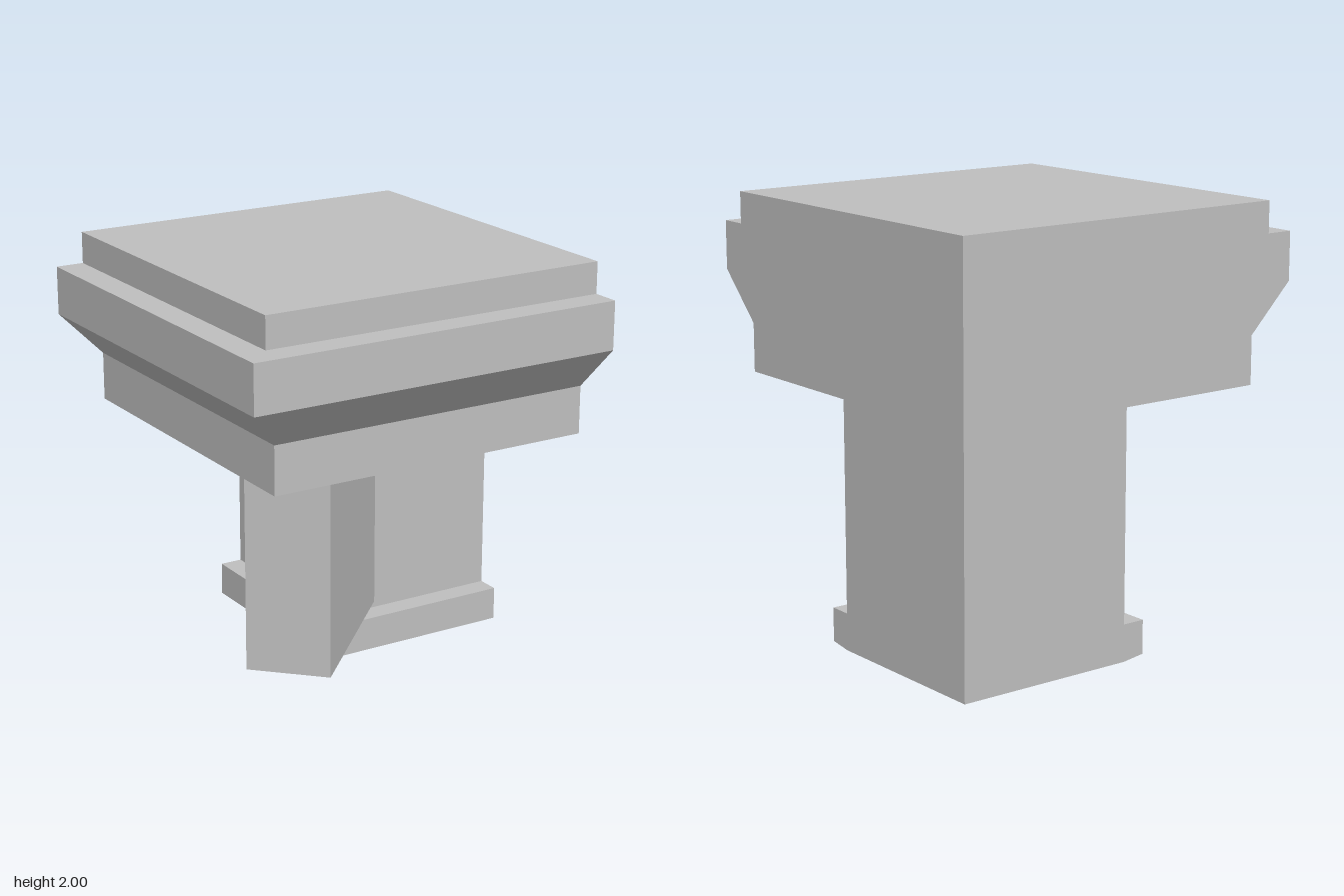
import * as THREE from 'three';

const EDGE = 0.925; // right and back planes of the block

// Profile of the moulding: [outer offset, height], mitred at the front-left corner
const PROFILE = [
  [0.04, 0], [-0.07, 0.015], [-0.07, 0.175], [0.04, 0.175],
  [0.04, 1.165], [-0.7, 1.165], [-0.7, 1.395], [-EDGE, 1.62],
  [-EDGE, 1.85], [-0.79, 1.85], [-0.79, 2],
];

// Rectangular section at one profile point, clockwise seen from above
const ring = ([p, y]) => [
  [EDGE, y, -p], [p, y, -p], [p, y, -EDGE], [EDGE, y, -EDGE],
];

function mitredGeometry() {
  const pos = [];
  const quad = (a, b, c, d) => pos.push(...a, ...b, ...c, ...a, ...c, ...d);
  const rings = PROFILE.map(ring);
  for (let i = 0; i < rings.length - 1; i++) {
    const lo = rings[i], hi = rings[i + 1];
    // Level steps have no height on the flat right and back planes
    const sides = PROFILE[i][1] === PROFILE[i + 1][1] ? 2 : 4;
    for (let s = 0; s < sides; s++) {
      // the moulded sides come first: front, left; then back, right
      const t = (s + 1) % 4;
      quad(lo[s], hi[s], hi[t], lo[t]);
    }
  }
  const [a, b, c, d] = rings[0];
  quad(a, b, c, d); // underside
  const [e, f, g, h] = rings[rings.length - 1];
  quad(e, h, g, f); // top
  const geo = new THREE.BufferGeometry();
  geo.setAttribute('position', new THREE.Float32BufferAttribute(pos, 3));
  geo.computeVertexNormals();
  return geo;
}

export function createModel() {
  const group = new THREE.Group();
  group.name = 'cornerCornice';
  const stone = new THREE.MeshStandardMaterial({ color: 0xbfbfbf });
  stone.name = 'grey stone';

  // Wall corner with base ledge and overhanging cornice
  const wall = new THREE.Mesh(mitredGeometry(), stone);
  wall.name = 'wallAndCornice';
  group.add(wall);

  // Diagonal bracket under the cornice
  const bracket = new THREE.Mesh(new THREE.BoxGeometry(0.389, 0.92, 0.912), stone);
  bracket.name = 'cornerBracket';
  bracket.position.set(-0.225, 0.705, 0.225);
  bracket.rotation.y = -Math.PI / 4;
  group.add(bracket);

  return group;
}
